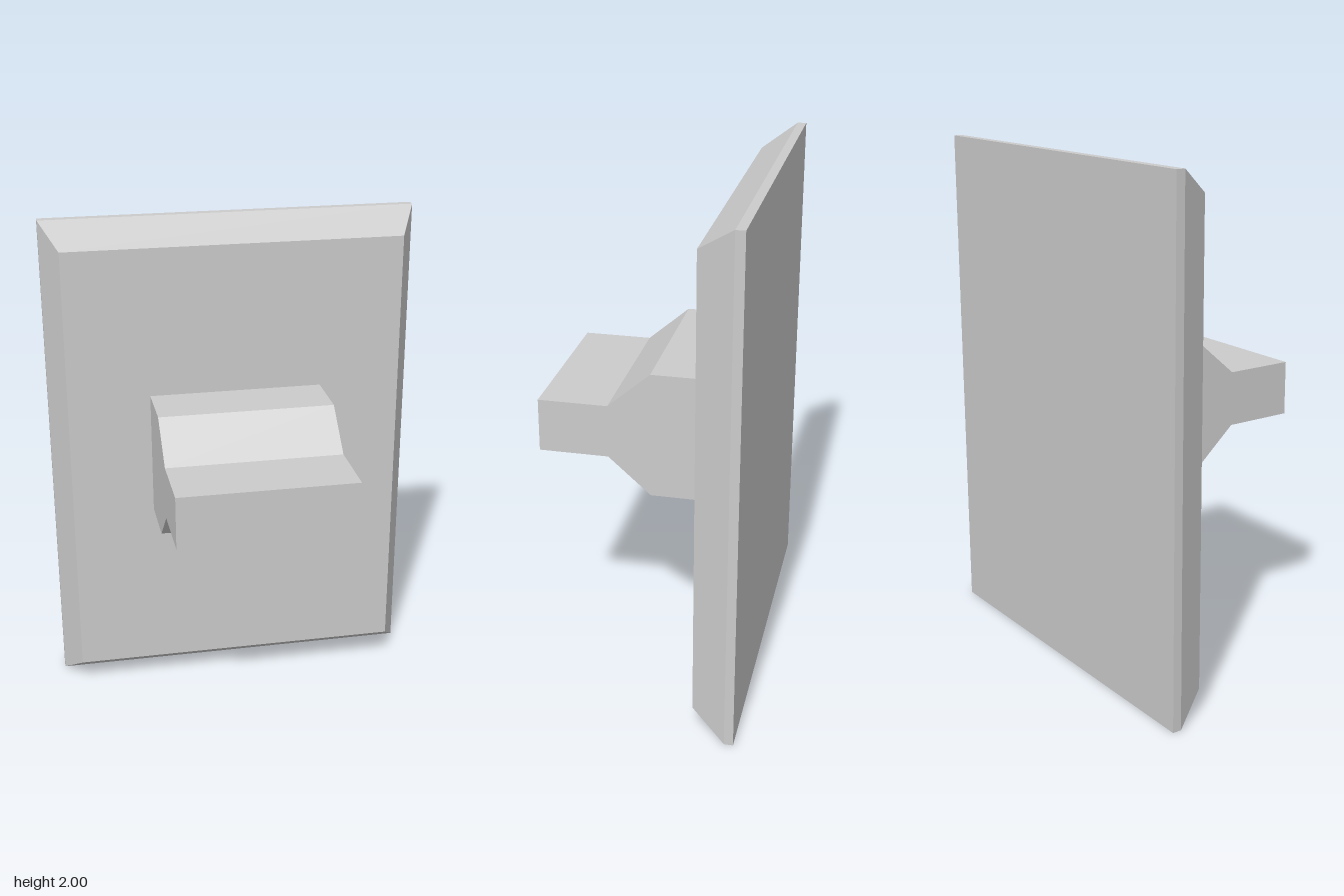
import * as THREE from 'three';

const material = new THREE.MeshStandardMaterial({ color: 0xcccccc, flatShading: true });

// Wall plate: a box with three depth rings, the front one drawn in to form the bevel
function createPlate() {
  const geometry = new THREE.BoxGeometry(1.5, 2, 2, 1, 1, 2);
  const p = geometry.attributes.position;
  for (let i = 0; i < p.count; i++) {
    const ring = Math.round(p.getZ(i)) + 1; // 0 back, 1 rim, 2 front
    p.setZ(i, [-0.42, -0.385, -0.25][ring]);
    if (ring === 2) {
      p.setX(i, Math.sign(p.getX(i)) * 0.68);
      p.setY(i, Math.sign(p.getY(i)) * 0.906);
    }
  }
  geometry.translate(0, 1, 0);
  geometry.computeVertexNormals();
  const plate = new THREE.Mesh(geometry, material);
  plate.name = 'wallPlate';
  return plate;
}

// Toggle: stepped side profile (z, y) extruded across x
function createToggle() {
  const profile = [
    [-0.25, 0.803], [-0.015, 0.803], [0.15, 0.95], [0.42, 0.95],
    [0.42, 1.16], [0.15, 1.16], [-0.015, 1.303], [-0.25, 1.303],
  ];
  const shape = new THREE.Shape(profile.map(([z, y]) => new THREE.Vector2(z, y)));
  const geometry = new THREE.ExtrudeGeometry(shape, { depth: 0.698, bevelEnabled: false });
  geometry.translate(0, 0, -0.349);
  geometry.rotateY(-Math.PI / 2);
  const toggle = new THREE.Mesh(geometry, material);
  toggle.name = 'toggle';
  return toggle;
}

export function createModel() {
  const group = new THREE.Group();
  group.name = 'wallSwitch';
  group.add(createPlate(), createToggle());
  return group;
}
